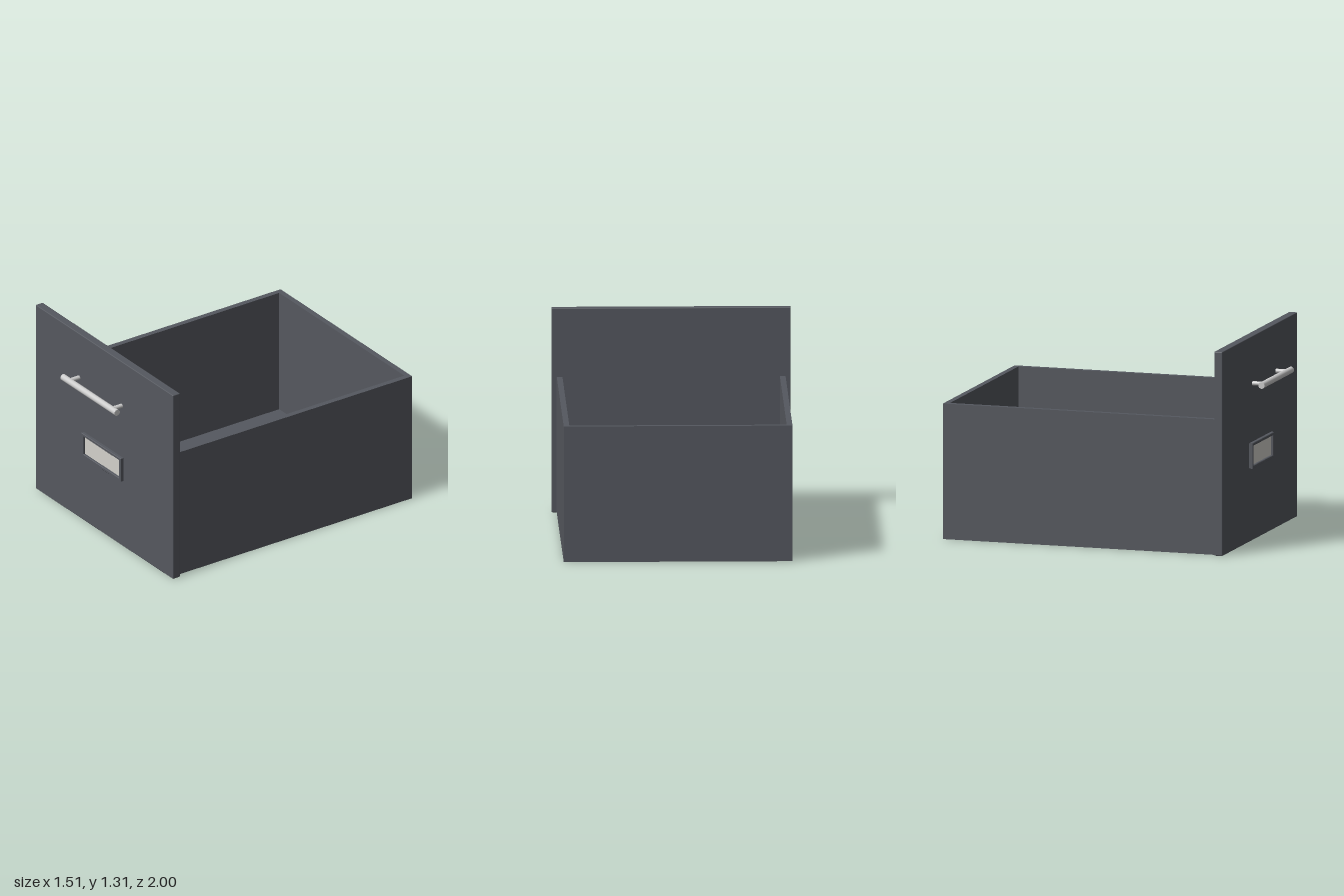
import * as THREE from 'three';
import { RoundedBoxGeometry } from 'three/addons/geometries/RoundedBoxGeometry.js';

export function createModel() {
  const model = new THREE.Group();
  model.name = 'drawer';

  const board = new THREE.MeshStandardMaterial({ color: 0x55585f });
  const metal = new THREE.MeshStandardMaterial({ color: 0xcccccc });
  const paper = new THREE.MeshStandardMaterial({ color: 0xd3d1cb });

  const add = (name, geometry, material, x, y, z, parent = model) => {
    const mesh = new THREE.Mesh(geometry, material);
    mesh.name = name;
    mesh.position.set(x, y, z);
    parent.add(mesh);
    return mesh;
  };

  // Open box: bottom, two sides and a back
  const halfW = 0.723, wall = 0.036, back = -1, front = 0.815;
  const floor = 0.04, top = 0.87;
  const depth = front - back, midZ = (front + back) / 2;
  const wallH = top - floor, wallY = (top + floor) / 2;
  add('bottomPanel', new THREE.BoxGeometry(halfW * 2, floor, depth), board, 0, floor / 2, midZ);
  for (const [name, s] of [['leftSide', 1], ['rightSide', -1]]) {
    add(name, new THREE.BoxGeometry(wall, wallH, depth), board, s * (halfW - wall / 2), wallY, midZ);
  }
  add('backPanel', new THREE.BoxGeometry((halfW - wall) * 2, wallH, wall), board, 0, wallY, back + wall / 2);

  // Front panel with softened edges
  add('frontPanel', new RoundedBoxGeometry(1.51, 1.31, 0.055, 2, 0.005), board, 0, 0.655, 0.8425);

  // Bar handle on two short posts
  const handle = new THREE.Group();
  handle.name = 'handle';
  handle.position.set(0, 1.024, 0);
  model.add(handle);
  add('handleBar', new THREE.CylinderGeometry(0.021, 0.021, 0.594, 32), metal, 0, 0, 0.979, handle)
    .rotation.z = Math.PI / 2;
  for (const s of [-1, 1]) {
    add('handlePost', new THREE.CylinderGeometry(0.014, 0.014, 0.075, 24), metal, s * 0.234, 0, 0.9375, handle)
      .rotation.x = Math.PI / 2;
  }

  // Label holder: a bevelled frame around a card
  const rect = (Path, w, h) => new Path().setFromPoints([
    new THREE.Vector2(-w, -h), new THREE.Vector2(w, -h),
    new THREE.Vector2(w, h), new THREE.Vector2(-w, h), new THREE.Vector2(-w, -h),
  ]);
  const bevel = 0.003;
  const outline = rect(THREE.Shape, 0.217 - bevel, 0.082 - bevel);
  outline.holes.push(rect(THREE.Path, 0.197 + bevel, 0.063 + bevel));
  const frame = new THREE.ExtrudeGeometry(outline, {
    depth: 0.019, bevelEnabled: true, bevelSize: bevel, bevelThickness: bevel, bevelSegments: 1,
  });
  add('labelFrame', frame, board, 0, 0.553, 0.87 + bevel);
  add('labelCard', new THREE.BoxGeometry(0.396, 0.128, 0.01), paper, 0, 0.553, 0.875);

  return model;
}
